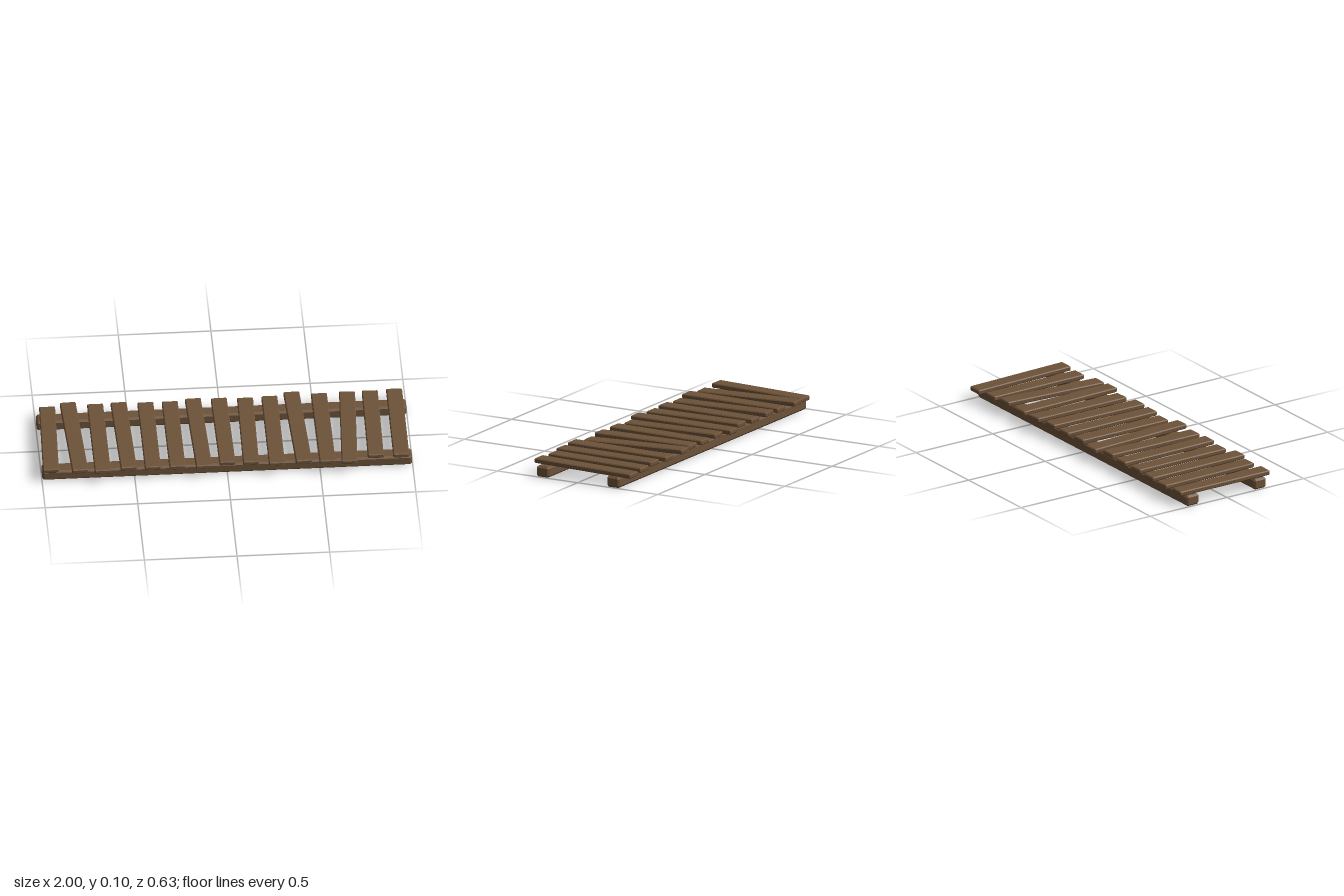
import * as THREE from 'three';
import { ConvexGeometry } from 'three/addons/geometries/ConvexGeometry.js';

// Box with flat chamfers on every edge
function chamferBox(w, h, d, b) {
  const points = [];
  for (const sx of [-1, 1]) for (const sy of [-1, 1]) for (const sz of [-1, 1]) {
    const x = w / 2, y = h / 2, z = d / 2;
    points.push(
      new THREE.Vector3(sx * x, sy * (y - b), sz * (z - b)),
      new THREE.Vector3(sx * (x - b), sy * y, sz * (z - b)),
      new THREE.Vector3(sx * (x - b), sy * (y - b), sz * z));
  }
  return new ConvexGeometry(points);
}

export function createModel() {
  const group = new THREE.Group();
  group.name = 'woodenWalkway';
  const wood = new THREE.MeshStandardMaterial({ color: 0x6d5239 });
  wood.name = 'brown wood';

  // Two long rails under the planks
  const railGeometry = chamferBox(1.995, 0.06, 0.079, 0.01);
  for (const [name, z] of [['frontRail', 0.222], ['backRail', -0.218]]) {
    const rail = new THREE.Mesh(railGeometry, wood);
    rail.name = name;
    rail.position.set(0, 0.03, z);
    group.add(rail);
  }

  // Uneven planks: back x, back z, front x, front z, rise of the front end
  const planks = [
    [-0.934, -0.286, -0.953, 0.286, 0.004],
    [-0.822, -0.307, -0.795, 0.289, -0.004],
    [-0.675, -0.29, -0.675, 0.31, 0.002],
    [-0.549, -0.29, -0.533, 0.286, -0.003],
    [-0.404, -0.286, -0.404, 0.297, 0.002],
    [-0.273, -0.28, -0.271, 0.294, -0.002],
    [-0.147, -0.305, -0.128, 0.308, 0.004],
    [-0.008, -0.29, 0, 0.275, -0.003],
    [0.134, -0.289, 0.126, 0.289, 0.002],
    [0.265, -0.29, 0.265, 0.302, -0.002],
    [0.385, -0.313, 0.412, 0.286, -0.007],
    [0.533, -0.302, 0.538, 0.31, 0.003],
    [0.685, -0.3, 0.656, 0.31, -0.003],
    [0.808, -0.307, 0.8, 0.275, 0.003],
    [0.94, -0.318, 0.937, 0.283, 0.006],
  ];
  planks.forEach(([x0, z0, x1, z1, rise], i) => {
    const length = Math.hypot(x1 - x0, z1 - z0);
    const plank = new THREE.Mesh(chamferBox(0.086, 0.026, length, 0.005), wood);
    plank.name = `plank${i + 1}`;
    plank.position.set((x0 + x1) / 2, 0.076, (z0 + z1) / 2);
    plank.rotation.order = 'YXZ';
    plank.rotation.y = Math.atan2(x1 - x0, z1 - z0);
    plank.rotation.x = -Math.atan2(rise * 2, length);
    group.add(plank);
  });
  return group;
}
